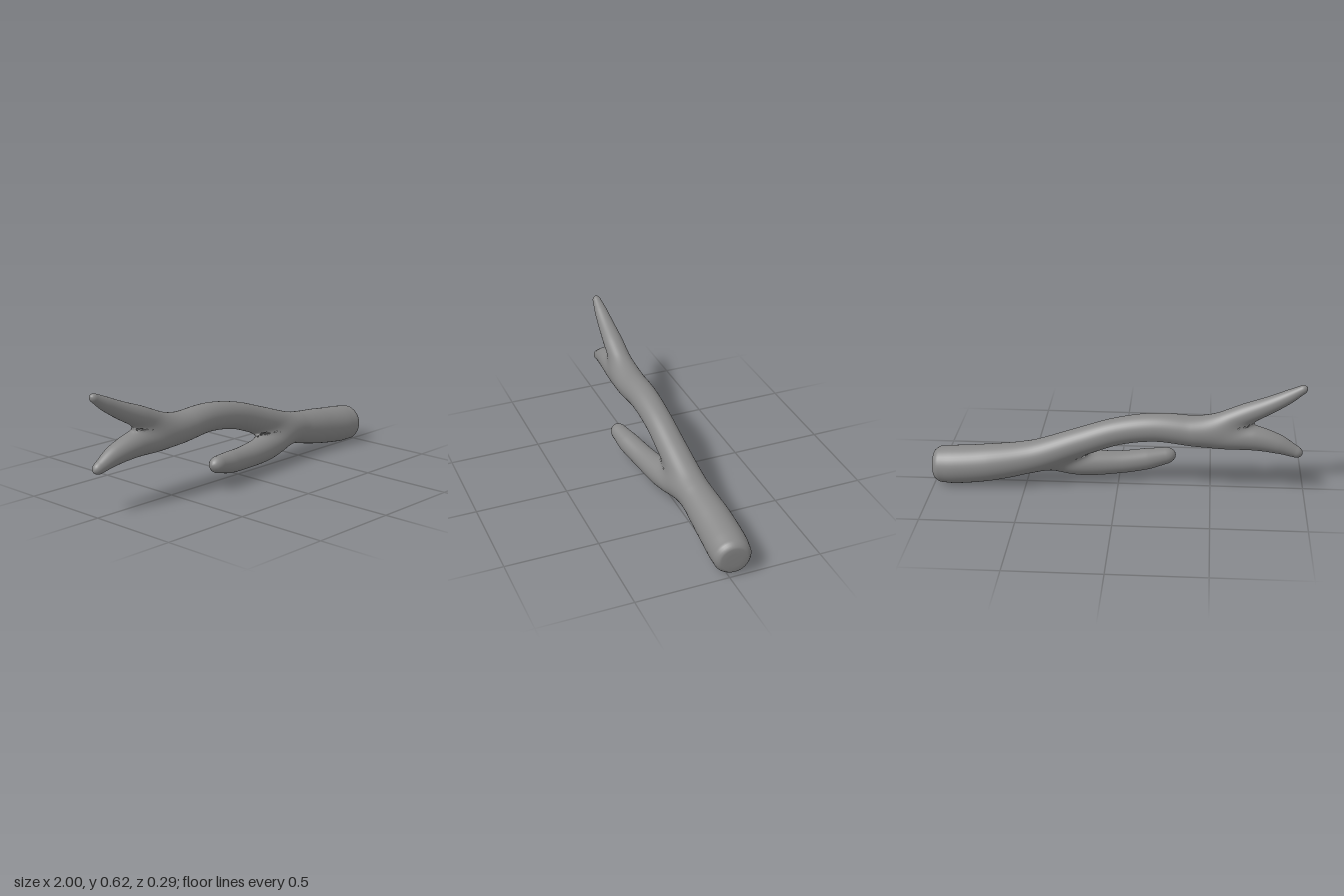
import * as THREE from 'three';

// Stations along each limb: x, y, z, radius
const LIMBS = {
  trunk: [
    [0.965, 0.102, -0.028, 0.098], [0.88, 0.107, -0.036, 0.104], [0.7, 0.127, -0.043, 0.101],
    [0.45, 0.172, -0.038, 0.086], [0.2, 0.26, -0.033, 0.077], [0, 0.326, -0.031, 0.074],
    [-0.2, 0.354, -0.031, 0.077], [-0.4, 0.339, -0.031, 0.082], [-0.58, 0.321, -0.034, 0.076],
    [-0.72, 0.312, -0.037, 0.068], [-0.85, 0.281, -0.04, 0.052], [-0.945, 0.24, -0.04, 0.032],
  ],
  upperFork: [
    [-0.42, 0.345, -0.033, 0.05], [-0.55, 0.39, -0.035, 0.059], [-0.68, 0.448, -0.037, 0.056],
    [-0.8, 0.502, -0.039, 0.046], [-0.9, 0.554, -0.04, 0.036], [-0.964, 0.592, -0.04, 0.024],
  ],
  sideBranch: [
    [0.5, 0.16, -0.03, 0.05], [0.38, 0.143, 0, 0.062], [0.2, 0.115, 0.02, 0.071],
    [0, 0.108, 0.05, 0.062], [-0.15, 0.118, 0.078, 0.058], [-0.25, 0.132, 0.096, 0.046],
  ],
};
const SIDES = 40;
const BLEND = 0.05;

// Smooth centreline with a radius at each sample
function sampleLimb(stations) {
  const path = new THREE.CatmullRomCurve3(stations.map(([x, y, z]) => new THREE.Vector3(x, y, z)));
  const radii = new THREE.CatmullRomCurve3(stations.map((s) => new THREE.Vector3(s[3], 0, 0)));
  const count = (stations.length - 1) * 12;
  return Array.from({ length: count + 1 }, (_, i) => ({
    c: path.getPoint(i / count), t: path.getTangent(i / count), r: radii.getPoint(i / count).x,
  }));
}

// Distance from a point to a limb's surface
function limbDistance(p, samples) {
  let best = Infinity;
  const ab = new THREE.Vector3(), ap = new THREE.Vector3();
  for (let i = 0; i < samples.length - 1; i++) {
    const a = samples[i], b = samples[i + 1];
    ab.subVectors(b.c, a.c);
    ap.subVectors(p, a.c);
    const h = THREE.MathUtils.clamp(ap.dot(ab) / ab.lengthSq(), 0, 1);
    best = Math.min(best, ap.addScaledVector(ab, -h).length() - THREE.MathUtils.lerp(a.r, b.r, h));
  }
  return best;
}

function smoothMin(a, b) {
  const h = Math.max(BLEND - Math.abs(a - b), 0) / BLEND;
  return Math.min(a, b) - h * h * BLEND * 0.25;
}

const blendedDistance = (p, limbs) => limbs.reduce((d, limb) => smoothMin(d, limbDistance(p, limb)), Infinity);

// Normal of the blended surface
function blendedNormal(p, limbs) {
  const slope = (axis) => {
    const step = new THREE.Vector3().setComponent(axis, 0.006);
    return blendedDistance(p.clone().add(step), limbs) - blendedDistance(p.clone().sub(step), limbs);
  };
  return new THREE.Vector3(slope(0), slope(1), slope(2)).normalize();
}

// Rings closing an end: [offset along the limb, radius factor]
const sawnEnd = [[0.034, 0], [0.034, 0.4], [0.033, 0.7], [0.029, 0.81], [0.019, 0.9], [0.008, 0.97]];
const roundTip = (r) => [15, 32, 50, 68, 82, 90].map((deg) => {
  const a = THREE.MathUtils.degToRad(deg);
  return [Math.sin(a) * r * 1.3, Math.cos(a)];
});

// Loft a limb, swelling it where it joins the others
function limbGeometry(samples, others, startCap) {
  const first = samples[0], last = samples[samples.length - 1];
  const extend = (s, offset, f) => ({ c: s.c.clone().addScaledVector(s.t, offset), t: s.t, r: s.r * f });
  const rings = [
    ...startCap.map(([o, f]) => extend(first, -o, f)),
    ...samples,
    ...roundTip(last.r).map(([o, f]) => extend(last, o, f)),
  ];
  const positions = [], index = [], joinNormals = new Map();
  const zAxis = new THREE.Vector3(0, 0, 1);
  for (const { c, t, r } of rings) {
    const side = zAxis.clone().addScaledVector(t, -zAxis.dot(t)).normalize();
    const up = new THREE.Vector3().crossVectors(t, side);
    for (let j = 0; j < SIDES; j++) {
      const a = (j / SIDES) * Math.PI * 2;
      const dir = side.clone().multiplyScalar(Math.cos(a)).addScaledVector(up, Math.sin(a));
      const p = c.clone().addScaledVector(dir, r);
      let swell = 0, gap = 0;
      for (let k = 0; r > 0.01 && k < 8; k++) {
        gap = blendedDistance(p.clone().addScaledVector(dir, swell), others);
        swell = THREE.MathUtils.clamp(swell - smoothMin(swell, gap), 0, 0.04);
      }
      if (swell > 0.0005) {
        joinNormals.set(positions.length / 3, blendedNormal(p.clone().addScaledVector(dir, swell), [samples, ...others]));
      }
      // Past the middle of a join the other limb carries the surface
      if (swell < gap + 0.012) p.addScaledVector(dir, swell);
      positions.push(p.x, p.y, p.z);
    }
  }
  for (let i = 0; i < rings.length - 1; i++) {
    for (let j = 0; j < SIDES; j++) {
      const a = i * SIDES + j, b = i * SIDES + ((j + 1) % SIDES);
      index.push(a, b, a + SIDES, b, b + SIDES, a + SIDES);
    }
  }
  const geometry = new THREE.BufferGeometry();
  geometry.setAttribute('position', new THREE.Float32BufferAttribute(positions, 3));
  geometry.setIndex(index);
  geometry.computeVertexNormals();
  joinNormals.forEach((n, i) => geometry.attributes.normal.setXYZ(i, n.x, n.y, n.z));
  return geometry;
}

export function createModel() {
  const group = new THREE.Group();
  group.name = 'branch';
  const material = new THREE.MeshStandardMaterial({ color: 0x888888 });
  const sampled = Object.fromEntries(Object.entries(LIMBS).map(([n, s]) => [n, sampleLimb(s)]));
  for (const name of Object.keys(sampled)) {
    const others = Object.keys(sampled).filter((n) => n !== name).map((n) => sampled[n]);
    const mesh = new THREE.Mesh(limbGeometry(sampled[name], others, name === 'trunk' ? sawnEnd : []), material);
    mesh.name = name;
    group.add(mesh);
  }
  return group;
}
